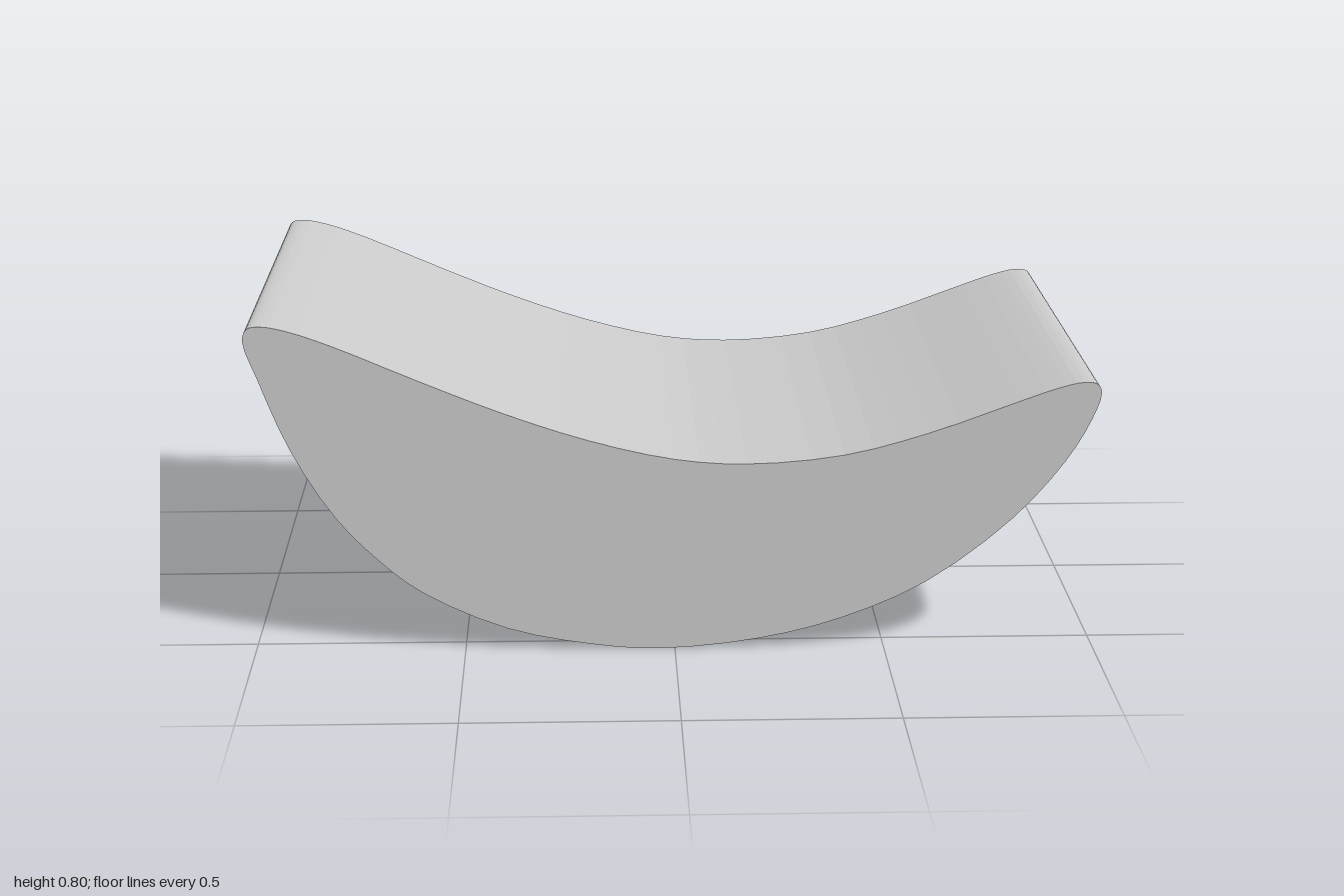
import * as THREE from 'three';

const DEPTH = 1.11;

// Side outline, counter-clockwise from the high tip along the belly and back over the saddle
const belly = [[-1, 0.77], [-0.97, 0.68], [-0.9, 0.505], [-0.8, 0.338], [-0.7, 0.229], [-0.6, 0.149],
  [-0.4, 0.056], [-0.2, 0.014], [-0.04, 0.001], [0.2, 0.024], [0.4, 0.075], [0.6, 0.165],
  [0.8, 0.32], [0.92, 0.46], [0.98, 0.565], [1, 0.63]];
const saddle = [[0.99, 0.65], [0.96, 0.655], [0.9, 0.642], [0.8, 0.607], [0.6, 0.535], [0.4, 0.482],
  [0.17, 0.462], [0, 0.475], [-0.2, 0.522], [-0.4, 0.59], [-0.6, 0.672], [-0.8, 0.758],
  [-0.9, 0.793], [-0.96, 0.804], [-0.99, 0.798]];

export function createModel() {
  const group = new THREE.Group();
  group.name = 'curvedRest';

  const points = [...belly, ...saddle].map(([x, y]) => new THREE.Vector3(x, y, 0));
  const curve = new THREE.CatmullRomCurve3(points, true, 'centripetal');
  const outline = curve.getPoints(points.length * 3).slice(0, -1);
  const shape = new THREE.Shape(outline.map((p) => new THREE.Vector2(p.x, p.y)));

  // Solid crescent body with faceted curved faces and flat ends
  const geometry = new THREE.ExtrudeGeometry(shape, { depth: DEPTH, bevelEnabled: false });
  geometry.translate(0, 0, -DEPTH / 2);
  const body = new THREE.Mesh(geometry, new THREE.MeshStandardMaterial({ color: 0xcccccc, flatShading: true }));
  body.name = 'crescentBody';
  group.add(body);
  return group;
}
